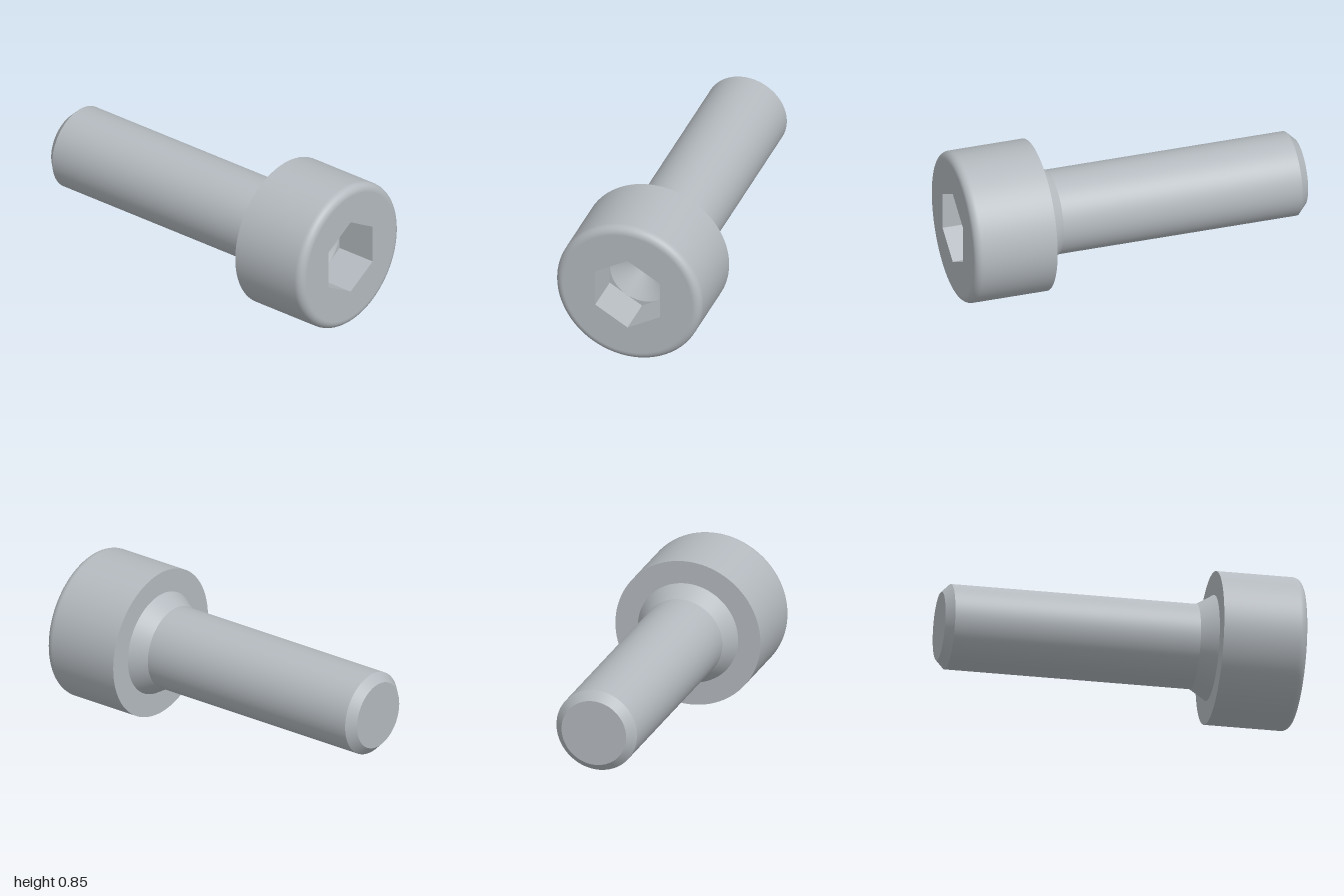
import * as THREE from 'three';

const HEAD_R = 0.427, SHAFT_R = 0.237, COLLAR_R = 0.295, TIP_R = 0.19;
const HEAD_BACK = 0.525, FILLET = 0.045;
const HEX_R = 0.2195, SOCKET_Z = 0.762, CONE_R = 0.1895, CONE_Z = 0.652;

export function createModel() {
  const screw = new THREE.Group();
  screw.name = 'socketCapScrew';
  const steel = new THREE.MeshStandardMaterial({ color: 0xb4babf });
  steel.name = 'steel grey';

  const add = (name, geometry) => {
    const mesh = new THREE.Mesh(geometry, steel);
    mesh.name = name;
    screw.add(mesh);
  };

  // Revolve [radius, z] points about the z axis
  const turn = (points, sides = 96) =>
    new THREE.LatheGeometry(points.map(([r, z]) => new THREE.Vector2(r, z)), sides).rotateX(Math.PI / 2);

  const hexPoints = Array.from({ length: 6 }, (_, i) => {
    const a = Math.PI / 2 + (i * Math.PI) / 3;
    return new THREE.Vector2(HEX_R * Math.cos(a), HEX_R * Math.sin(a));
  });
  const circle = (r) => new THREE.Path().absarc(0, 0, r, 0, Math.PI * 2);

  // Head: side wall running into a rounded front rim
  const rim = [[HEAD_R, HEAD_BACK], [HEAD_R, 0.95]];
  for (let i = 0; i <= 10; i++) {
    const a = (i / 10) * Math.PI / 2;
    rim.push([HEAD_R - FILLET + FILLET * Math.cos(a), 1 - FILLET + FILLET * Math.sin(a)]);
  }
  add('headSide', turn(rim));
  add('headUnderside', turn([[COLLAR_R, HEAD_BACK], [HEAD_R, HEAD_BACK]]));

  // Front face with the hexagonal opening
  const face = new THREE.Shape(circle(HEAD_R - FILLET).getPoints(48));
  face.holes.push(new THREE.Path(hexPoints));
  add('headFace', new THREE.ShapeGeometry(face).translate(0, 0, 1));

  // Socket: flat walls, corner ledges and drilled cone
  const walls = turn([[HEX_R, 1], [HEX_R, SOCKET_Z]], 6).toNonIndexed();
  walls.computeVertexNormals();
  add('socketWalls', walls);
  const ledge = new THREE.Shape(hexPoints);
  ledge.holes.push(new THREE.Path(circle(CONE_R).getPoints(48)));
  add('socketLedge', new THREE.ShapeGeometry(ledge).translate(0, 0, SOCKET_Z));
  add('socketCone', turn([[CONE_R, SOCKET_Z], [0, CONE_Z]]));

  // Shank: tip, chamfer, shaft and tapered collar under the head
  add('tipFace', turn([[0, -1], [TIP_R, -1]]));
  add('tipChamfer', turn([[TIP_R, -1], [SHAFT_R, -0.953]]));
  add('shaft', turn([[SHAFT_R, -0.953], [SHAFT_R, 0.43]]));
  add('collar', turn([[SHAFT_R, 0.43], [COLLAR_R, HEAD_BACK]]));

  // Rest the head on the ground
  screw.children.forEach((mesh) => mesh.geometry.translate(0, HEAD_R, 0));
  return screw;
}
